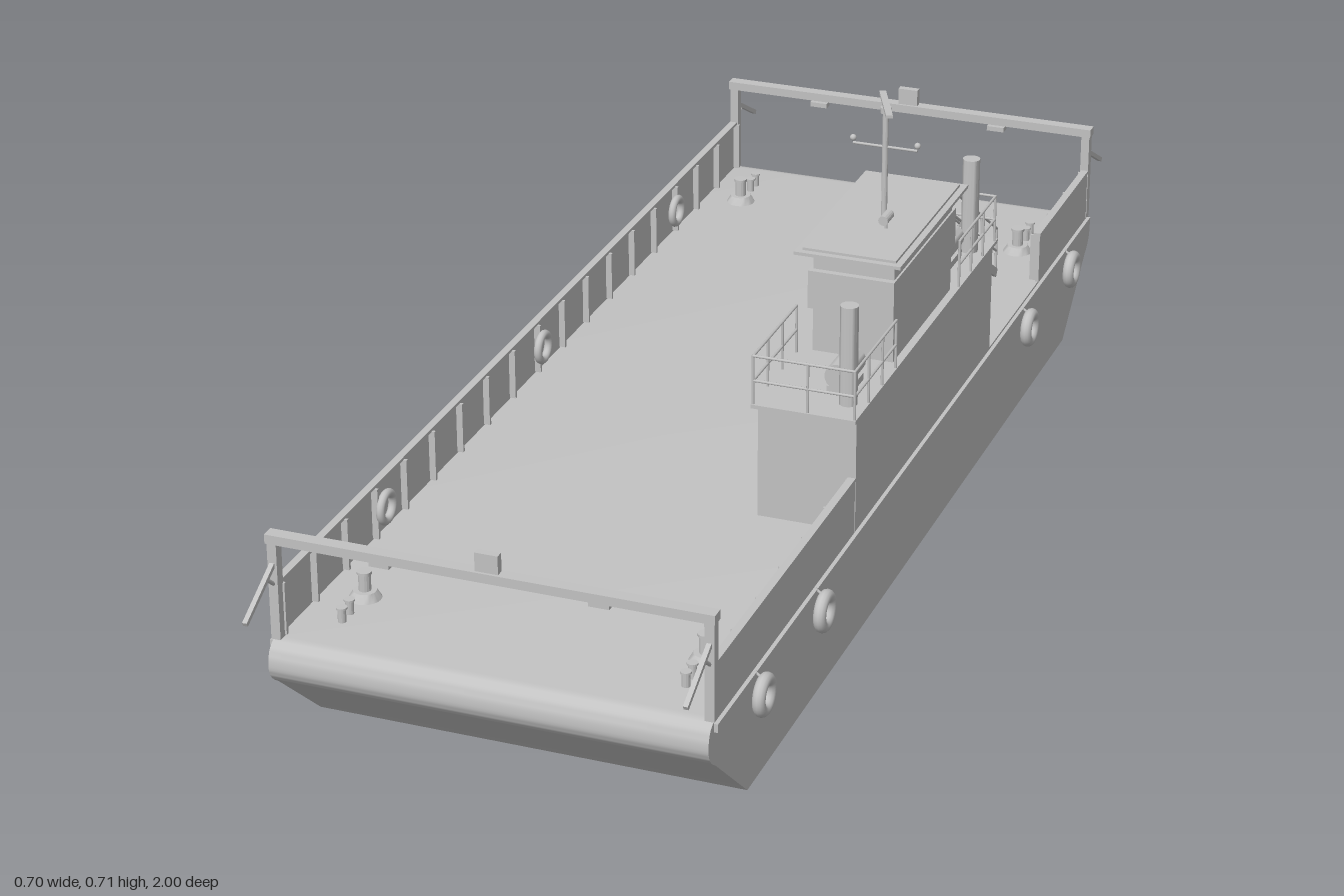
import * as THREE from 'three';
import { toCreasedNormals } from 'three/addons/utils/BufferGeometryUtils.js';

const paint = new THREE.MeshStandardMaterial({ color: 0xc2c2c2 });
paint.name = 'greyPaint';

export function createModel() {
  const model = new THREE.Group();
  model.name = 'carFerry';

  const add = (name, geo, x = 0, y = 0, z = 0) => {
    const m = new THREE.Mesh(geo, paint);
    m.name = name;
    m.position.set(x, y, z);
    model.add(m);
    return m;
  };
  // box given by its limits on each axis
  const box = (name, x0, x1, y0, y1, z0, z1) =>
    add(name, new THREE.BoxGeometry(x1 - x0, y1 - y0, z1 - z0), (x0 + x1) / 2, (y0 + y1) / 2, (z0 + z1) / 2);
  const post = (name, r, x, y0, y1, z, sides = 16) =>
    add(name, toCreasedNormals(new THREE.CylinderGeometry(r, r, y1 - y0, sides), 0.8), x, (y0 + y1) / 2, z);
  // round bar between two points
  const rod = (name, a, b, r = 0.0022) => {
    const p = new THREE.Vector3(...a), q = new THREE.Vector3(...b);
    const m = add(name, new THREE.CylinderGeometry(r, r, p.distanceTo(q), 8));
    m.position.copy(p).add(q).multiplyScalar(0.5);
    m.quaternion.setFromUnitVectors(new THREE.Vector3(0, 1, 0), q.sub(p).normalize());
    return m;
  };
  // ring whose axis lies along x
  const ring = (name, R, r, x, y, z, stretch = 1) => {
    const geo = new THREE.TorusGeometry(R, r, 12, 28);
    geo.scale(1, 1, stretch);
    geo.rotateY(Math.PI / 2);
    return add(name, geo, x, y, z);
  };
  // side profile (z, y) extruded across x
  const acrossX = (shape, width) => {
    const geo = new THREE.ExtrudeGeometry(shape, { depth: width, bevelEnabled: false, curveSegments: 8 });
    geo.translate(0, 0, -width / 2);
    geo.rotateY(-Math.PI / 2);
    return toCreasedNormals(geo, 0.6);
  };

  // hull with raked, rounded ends
  const s = new THREE.Shape();
  s.moveTo(-0.78, 0);
  s.lineTo(0.78, 0);
  s.lineTo(0.905, 0.11);
  s.quadraticCurveTo(0.93, 0.125, 0.93, 0.145);
  s.quadraticCurveTo(0.93, 0.18, 0.9, 0.18);
  s.lineTo(-0.9, 0.18);
  s.quadraticCurveTo(-0.93, 0.18, -0.93, 0.145);
  s.quadraticCurveTo(-0.93, 0.125, -0.905, 0.11);
  s.closePath();
  add('hull', acrossX(s, 0.646));

  // rubbing strakes, bulwarks, ribs and fenders
  for (const side of [-1, 1]) {
    add('rubbingStrake', new THREE.BoxGeometry(0.01, 0.013, 1.82), side * 0.324, 0.17, 0);
    const spans = side < 0 ? [[-0.9, 0.9]] : [[-0.9, -0.61], [0.33, 0.9]];
    for (const [z0, z1] of spans) {
      add('bulwark', new THREE.BoxGeometry(0.006, 0.084, z1 - z0), side * 0.321, 0.222, (z0 + z1) / 2);
      add('bulwarkCap', new THREE.BoxGeometry(0.012, 0.005, z1 - z0), side * 0.319, 0.264, (z0 + z1) / 2);
      const n = Math.round((z1 - z0) / 0.1);
      for (let i = 0; i <= n; i++)
        add('bulwarkRib', new THREE.BoxGeometry(0.012, 0.08, 0.005), side * 0.314, 0.222, z0 + 0.003 + (z1 - z0 - 0.006) * i / n);
    }
    for (const z of [-0.76, -0.51, 0.51, 0.76]) {
      ring('tyreFender', 0.0225, 0.0095, side * 0.34, 0.143, z);
      rod('fenderHanger', [side * 0.326, 0.176, z], [side * 0.337, 0.168, z]);
    }
  }
  for (const z of [-0.58, 0, 0.58]) ring('lifeRing', 0.021, 0.0065, -0.304, 0.226, z);
  ring('houseLifeRing', 0.021, 0.0065, 0.169, 0.285, 0.27);

  // end portals with lamps and slanting ramp arms
  for (const e of [-1, 1]) {
    add('portalBeam', new THREE.BoxGeometry(0.654, 0.014, 0.02), 0, 0.335, e * 0.905);
    add('signalBox', new THREE.BoxGeometry(0.034, 0.028, 0.012), 0, 0.356, e * 0.905);
    for (const side of [-1, 1]) {
      add('portalPost', new THREE.BoxGeometry(0.014, 0.15, 0.016), side * 0.318, 0.255, e * 0.905);
      add('portalLamp', new THREE.BoxGeometry(0.03, 0.008, 0.016), side * 0.16, 0.322, e * 0.9);
      const arm = add('rampArm', new THREE.BoxGeometry(0.007, 0.007, 0.1), side * 0.318, 0.272, e * 0.956);
      arm.rotation.x = e * 0.5;
      rod('armStay', [side * 0.318, 0.265, e * 0.91], [side * 0.318, 0.285, e * 0.935], 0.003);
      // winches and twin bitts
      const z = e * (side > 0 && e < 0 ? 0.72 : 0.76), x = side * 0.255;
      add('winchBase', toCreasedNormals(new THREE.CylinderGeometry(0.017, 0.024, 0.012, 20), 0.6), x, 0.186, z);
      post('winchDrum', 0.009, x, 0.18, 0.218, z);
      post('winchCap', 0.011, x, 0.218, 0.222, z);
      for (const d of [0.05, 0.075]) {
        post('bitt', 0.006, x, 0.18, 0.2, z + e * d);
        post('bittCap', 0.008, x, 0.2, 0.203, z + e * d);
      }
    }
  }

  // deck house
  box('deckHouse', 0.175, 0.325, 0.18, 0.36, -0.33, 0.335);
  box('houseRoof', 0.168, 0.327, 0.357, 0.363, -0.352, 0.346);
  for (const z of [-0.22, 0.12]) box('houseDoor', 0.172, 0.176, 0.19, 0.31, z - 0.03, z + 0.03);

  // wheelhouse with a proud window band
  box('wheelhouse', 0.19, 0.315, 0.363, 0.53, -0.14, 0.14);
  box('windowBand', 0.185, 0.318, 0.435, 0.495, -0.15, 0.15);
  box('wheelhouseRoof', 0.168, 0.332, 0.524, 0.529, -0.165, 0.165);
  box('wheelhouseRoofTop', 0.178, 0.322, 0.529, 0.533, -0.155, 0.155);

  // mast, spreader, radar and searchlight
  post('mast', 0.0045, 0.252, 0.53, 0.71, 0);
  post('mastHead', 0.008, 0.252, 0.697, 0.706, 0);
  const radar = add('radarBar', new THREE.BoxGeometry(0.01, 0.005, 0.1), 0.252, 0.71, 0);
  radar.rotation.y = 0.42;
  rod('spreader', [0.202, 0.643, 0], [0.302, 0.643, 0]);
  for (const x of [0.202, 0.302]) add('navigationLight', new THREE.SphereGeometry(0.005, 12, 8), x, 0.651, 0);
  const light = post('searchlight', 0.0075, 0.27, 0.535, 0.565, 0.045);
  light.rotation.x = Math.PI / 2;
  rod('searchlightStem', [0.27, 0.533, 0.045], [0.27, 0.548, 0.045]);

  // funnels and life raft drums
  for (const e of [-1, 1]) {
    post('funnel', 0.0135, 0.298, 0.363, 0.518, e * 0.293, 20);
    const raft = post('raftDrum', 0.02, 0.275, 0.357, 0.427, e * 0.24, 20);
    raft.rotation.x = Math.PI / 2;
    box('raftCradle', 0.257, 0.293, 0.363, 0.374, e * 0.24 - 0.03, e * 0.24 + 0.03);
  }

  // railings round both ends of the house roof
  for (const e of [-1, 1]) {
    const zEnd = e * 0.342, zIn = e * 0.155;
    for (const y of [0.4, 0.439]) {
      for (const x of [0.17, 0.324]) rod('sideRail', [x, y, zIn], [x, y, zEnd]);
      rod('endRail', [e > 0 ? 0.17 : 0.253, y, zEnd], [0.324, y, zEnd]);
    }
    for (const x of [0.17, 0.324])
      for (let i = 0; i < 4; i++) {
        const z = zIn + (zEnd - zIn) * i / 3;
        rod('railPost', [x, 0.36, z], [x, 0.44, z]);
      }
    rod('railPost', [0.253, 0.36, zEnd], [0.253, 0.44, zEnd]);
  }

  // stairs from the roof down to the deck
  const top = [0.36, -0.345], foot = [0.185, -0.61], steps = 14;
  for (const x of [0.185, 0.25]) {
    const string = add('stairString', new THREE.BoxGeometry(0.005, 0.014, Math.hypot(top[0] - foot[0], top[1] - foot[1])),
      x, (top[0] + foot[0]) / 2, (top[1] + foot[1]) / 2);
    string.rotation.x = -Math.atan2(top[0] - foot[0], top[1] - foot[1]);
    for (const h of [0.04, 0.08]) rod('stairRail', [x, top[0] + h, top[1]], [x, foot[0] + h, foot[1]]);
    for (const t of [0.33, 0.67, 1]) {
      const y = top[0] + (foot[0] - top[0]) * t, z = top[1] + (foot[1] - top[1]) * t;
      rod('stairRailPost', [x, y, z], [x, y + 0.08, z]);
    }
  }
  for (let i = 1; i < steps; i++) {
    const t = i / steps;
    add('stairTread', new THREE.BoxGeometry(0.065, 0.004, 0.017), 0.2175,
      top[0] + (foot[0] - top[0]) * t, top[1] + (foot[1] - top[1]) * t);
  }

  return model;
}
